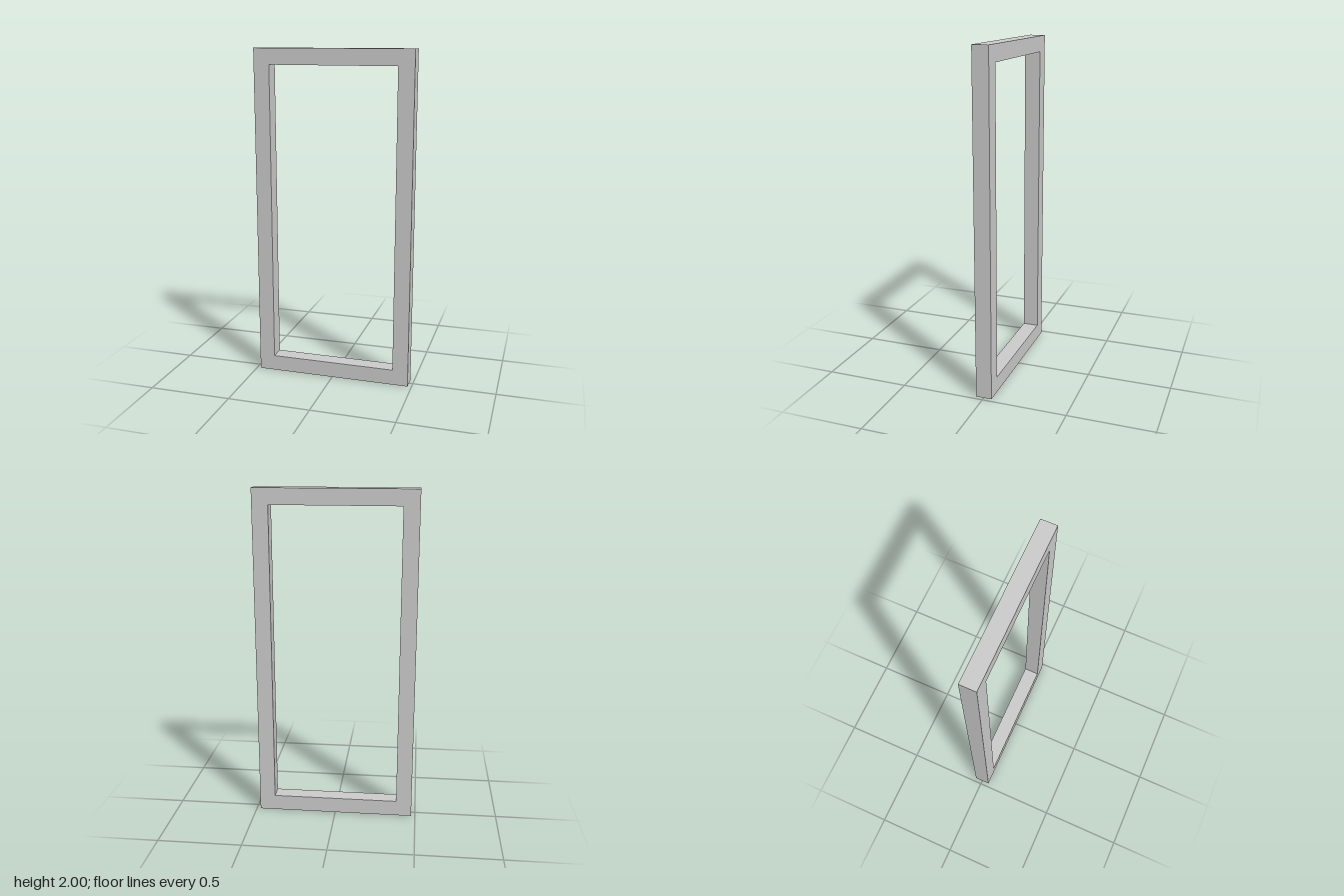
import * as THREE from 'three';

const WIDTH = 0.952, HEIGHT = 2, BAR = 0.095, DEPTH = 0.095;

// Closed rectangle centred on x, standing on y = inset
function rectangle(path, inset) {
  const x = WIDTH / 2 - inset;
  path.moveTo(-x, inset);
  path.lineTo(x, inset);
  path.lineTo(x, HEIGHT - inset);
  path.lineTo(-x, HEIGHT - inset);
  path.closePath();
  return path;
}

export function createModel() {
  const group = new THREE.Group();
  group.name = 'rectangularFrame';

  // Square-section frame around an open middle
  const shape = rectangle(new THREE.Shape(), 0);
  shape.holes.push(rectangle(new THREE.Path(), BAR));
  const geometry = new THREE.ExtrudeGeometry(shape, { depth: DEPTH, bevelEnabled: false });
  geometry.translate(0, 0, -DEPTH / 2);

  const frame = new THREE.Mesh(
    geometry,
    new THREE.MeshStandardMaterial({ color: 0xcccccc, flatShading: true })
  );
  frame.name = 'frame';
  group.add(frame);
  return group;
}
